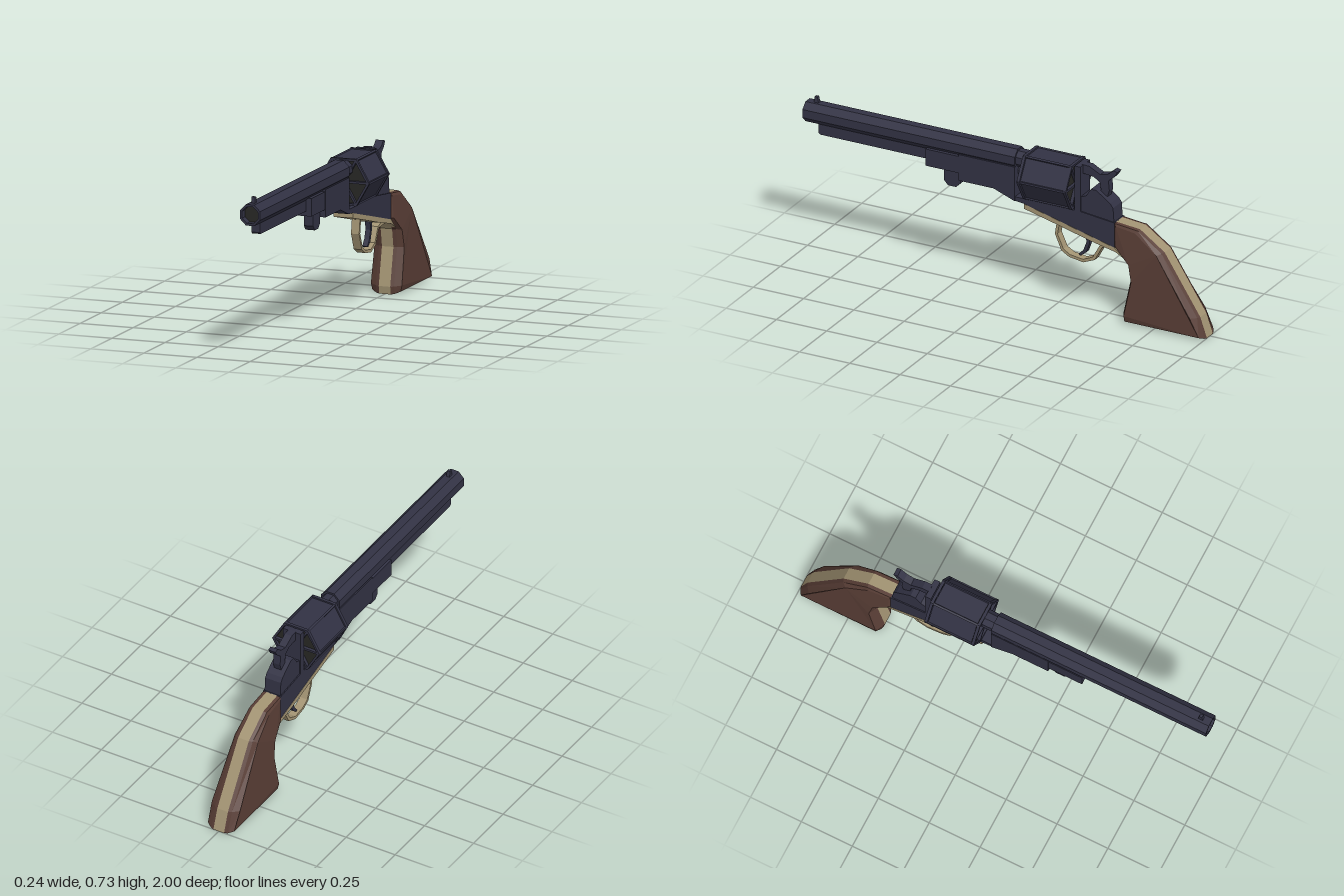
import * as THREE from 'three';

const mat = (name, color, side = THREE.FrontSide) => {
  const m = new THREE.MeshStandardMaterial({ color, side, flatShading: true });
  m.name = name;
  return m;
};

export function createModel() {
  const model = new THREE.Group();
  const steel = mat('blued steel', 0x323244);
  const dark = mat('dark recess', 0x272724);
  const brass = mat('brass', 0xa39473);
  const wood = mat('walnut', 0x583d35, THREE.DoubleSide);

  const add = (name, geo, material, x = 0, y = 0, z = 0, parent = model) => {
    const m = new THREE.Mesh(geo, material);
    m.name = name;
    m.position.set(x, y, z);
    parent.add(m);
    return m;
  };
  // side profile given as [z, y] points, extruded symmetrically across x
  const plate = (name, pts, half, material, x = 0) => {
    const shape = new THREE.Shape(pts.map(p => new THREE.Vector2(...p)));
    const geo = new THREE.ExtrudeGeometry(shape, { depth: half * 2, bevelEnabled: false });
    geo.translate(0, 0, -half).rotateY(-Math.PI / 2);
    return add(name, geo, material, x);
  };
  const box = (name, w, y0, y1, z0, z1, material = steel, x = 0) =>
    add(name, new THREE.BoxGeometry(w, y1 - y0, Math.abs(z1 - z0)), material, x, (y0 + y1) / 2, (z0 + z1) / 2);
  // prism lying along z, with a flat face on top
  const prism = (r, len, sides) =>
    new THREE.CylinderGeometry(r, r, len, sides, 1, false, Math.PI / sides).rotateX(Math.PI / 2);
  const ring = (n, r, start) => Array.from({ length: n }, (_, i) => {
    const a = start + i / n * Math.PI * 2;
    return new THREE.Vector2(Math.cos(a) * r, Math.sin(a) * r);
  });
  const tube = (n, r, inner, len, start) => {
    const s = new THREE.Shape(ring(n, r, start));
    s.holes.push(new THREE.Path(ring(n, inner, start)));
    return new THREE.ExtrudeGeometry(s, { depth: len, bevelEnabled: false });
  };

  // octagonal barrel with open muzzle and front sight
  add('barrel', tube(8, 0.051, 0.04, 1.055, Math.PI / 8), steel, 0, 0.653, -0.055);
  add('bore', prism(0.041, 0.96, 8), dark, 0, 0.653, 0.485);
  add('barrelRear', prism(0.042, 0.06, 8), steel, 0, 0.653, -0.08);
  plate('frontSight', [[0.965, 0.695], [0.96, 0.728], [0.947, 0.728], [0.94, 0.695]], 0.008, steel);

  // loading rod, lever lug and barrel frame
  plate('loadingRod', [[0.935, 0.61], [0.935, 0.565], [0.925, 0.557], [0.39, 0.557], [0.39, 0.61]], 0.02, steel);
  box('rodLug', 0.09, 0.535, 0.615, 0.225, 0.39);
  plate('leverKnob', [[0.31, 0.54], [0.31, 0.475], [0.29, 0.453], [0.25, 0.453], [0.228, 0.475], [0.228, 0.54]], 0.022, steel);
  plate('barrelFrame', [[0.225, 0.625], [0.225, 0.5], [0.05, 0.5], [-0.05, 0.463], [-0.055, 0.463], [-0.055, 0.625]], 0.047, steel);
  add('arbor', prism(0.02, 0.1, 8), steel, 0, 0.593, -0.08);

  // six-sided drum: dark recessed ends, raised rims and edge ridges
  const drum = new THREE.Group();
  drum.name = 'drum';
  drum.position.set(0, 0.593, -0.225);
  model.add(drum);
  add('drumCore', prism(0.115, 0.212, 6), [steel, dark, dark], 0, 0, 0, drum);
  for (const z of [-0.122, 0.108]) add('drumRim', tube(6, 0.121, 0.109, 0.014, 0), steel, 0, 0, z, drum);
  for (let i = 0; i < 3; i++) {
    const spoke = add('drumSpoke', new THREE.BoxGeometry(0.238, 0.01, 0.242), steel, 0, 0, 0, drum);
    spoke.rotation.z = i * Math.PI / 3;
  }

  // main frame, recoil shield and rear hump
  plate('mainFrame', [[-0.05, 0.482], [-0.05, 0.463], [-0.1, 0.458], [-0.55, 0.345], [-0.55, 0.463], [-0.38, 0.482]], 0.045, steel);
  box('recoilShield', 0.09, 0.46, 0.695, -0.352, -0.38);
  plate('rearHump', [[-0.375, 0.46], [-0.375, 0.55], [-0.405, 0.56], [-0.43, 0.598], [-0.455, 0.598],
    [-0.49, 0.575], [-0.525, 0.55], [-0.54, 0.53], [-0.545, 0.46]], 0.04, steel);

  // curved hammer with thumb spur
  plate('hammer', [[-0.375, 0.697], [-0.41, 0.695], [-0.465, 0.667], [-0.5, 0.675], [-0.53, 0.7], [-0.55, 0.695],
    [-0.535, 0.67], [-0.505, 0.645], [-0.51, 0.6], [-0.495, 0.55], [-0.46, 0.55], [-0.468, 0.6], [-0.462, 0.63],
    [-0.43, 0.65], [-0.375, 0.655]], 0.018, steel);

  // brass underside, guard loop and trigger
  plate('brassStrap', [[-0.1, 0.458], [-0.1, 0.435], [-0.25, 0.398], [-0.43, 0.352], [-0.555, 0.325],
    [-0.6, 0.3], [-0.55, 0.345]], 0.046, brass);
  const outer = [[-0.25, 0.402], [-0.24, 0.335], [-0.272, 0.26], [-0.31, 0.238], [-0.38, 0.227],
    [-0.437, 0.25], [-0.475, 0.32], [-0.56, 0.328]];
  const inner = [[-0.5, 0.34], [-0.463, 0.327], [-0.427, 0.262], [-0.38, 0.241],
    [-0.315, 0.25], [-0.282, 0.27], [-0.253, 0.335], [-0.264, 0.4]];
  plate('triggerGuard', [...outer, ...inner], 0.019, brass);
  plate('trigger', [[-0.385, 0.38], [-0.393, 0.325], [-0.378, 0.285], [-0.355, 0.258], [-0.365, 0.253],
    [-0.392, 0.275], [-0.408, 0.32], [-0.408, 0.38]], 0.012, steel);

  // grip: brass strap around the middle, bevelled wooden side panels
  const edge = [[-0.548, 0.463], [-0.668, 0.452], [-0.79, 0.367], [-0.967, 0.094], [-1, 0], [-0.593, 0],
    [-0.587, 0.035], [-0.625, 0.206], [-0.609, 0.29], [-0.545, 0.35]];
  const panel = [[-0.556, 0.45], [-0.655, 0.437], [-0.765, 0.357], [-0.938, 0.098], [-0.98, 0.012], [-0.612, 0.012],
    [-0.61, 0.04], [-0.645, 0.206], [-0.63, 0.285], [-0.562, 0.35]];
  const width = [0.048, 0.05, 0.059, 0.072, 0.067, 0.067, 0.073, 0.07, 0.066, 0.054];
  const at = (pts, x) => pts.map(([z, y], i) => [typeof x === 'number' ? x : x[i], y, z]);
  const band = (a, b) => a.flatMap((p, i) => {
    const j = (i + 1) % a.length;
    return [a[i], b[i], b[j], a[i], b[j], a[j]];
  });
  const fromPoints = pts => {
    const g = new THREE.BufferGeometry();
    g.setAttribute('position', new THREE.Float32BufferAttribute(pts.flat(), 3));
    g.computeVertexNormals();
    return g;
  };
  add('gripStrap', fromPoints(band(at(edge, -0.027), at(edge, 0.027))), brass);
  const mid = edge.map(([z, y], i) => [z * 0.75 + panel[i][0] * 0.25, y * 0.8 + panel[i][1] * 0.2]);
  const tris = THREE.ShapeUtils.triangulateShape(panel.map(p => new THREE.Vector2(...p)), []);
  for (const s of [1, -1]) {
    const rings = [at(edge, 0.027 * s), at(mid, 0.043 * s), at(panel, width.map(w => w * s))];
    const sides = [0, 1].flatMap(i => s > 0 ? band(rings[i], rings[i + 1]) : band(rings[i + 1], rings[i]));
    const face = tris.flatMap(t => (s > 0 ? [t[0], t[2], t[1]] : t).map(i => rings[2][i]));
    add(s > 0 ? 'leftGripPanel' : 'rightGripPanel', fromPoints([...sides, ...face]), wood);
  }
  return model;
}
